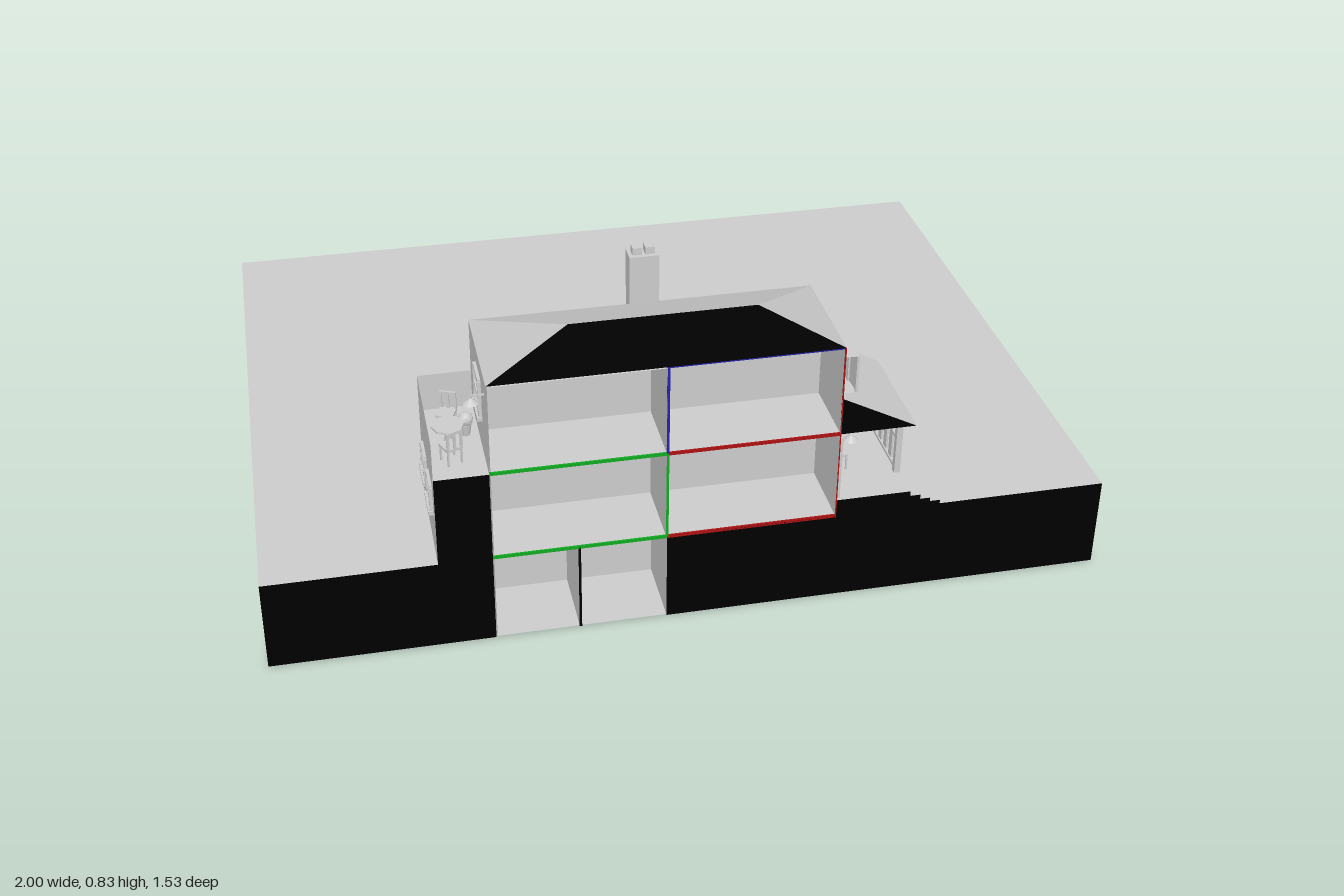
import * as THREE from 'three';

const mat = (color = 0xcccccc) => new THREE.MeshStandardMaterial({ color, side: THREE.DoubleSide, flatShading: true });
const grey = mat(), black = mat(0x000000), red = mat(0xaa1111), green = mat(0x11aa22), blue = mat(0x2222aa);
const FRONT = 0.765, BACK = 0.475, ROOM = 0.59; // z of cut plane, rear wall, room rear wall
const L = -0.475, M = -0.07, R = 0.335;         // x of left wall, middle wall, right wall
const Y = [0, 0.23, 0.46, 0.69];                // floor levels

export function createModel() {
  const house = new THREE.Group();
  house.name = 'cutawayHouse';

  const add = (name, geo, m = grey, parent = house) => {
    const mesh = new THREE.Mesh(geo, m);
    mesh.name = name;
    parent.add(mesh);
    return mesh;
  };
  // box given by its limits
  const box = (name, x0, x1, y0, y1, z0, z1, m, parent) => {
    const g = new THREE.BoxGeometry(x1 - x0, y1 - y0, z1 - z0);
    g.translate((x0 + x1) / 2, (y0 + y1) / 2, (z0 + z1) / 2);
    return add(name, g, m, parent);
  };
  // flat convex face through 3D corners
  const face = (name, pts, m, parent) => {
    const pos = [];
    for (let i = 1; i < pts.length - 1; i++) pos.push(...pts[0], ...pts[i], ...pts[i + 1]);
    const g = new THREE.BufferGeometry();
    g.setAttribute('position', new THREE.Float32BufferAttribute(pos, 3));
    g.computeVertexNormals();
    return add(name, g, m, parent);
  };
  const shape = pts => new THREE.Shape(pts.map(p => new THREE.Vector2(...p)));
  const cutFace = (name, pts) => add(name, new THREE.ShapeGeometry(shape(pts)).translate(0, 0, FRONT), black);

  // lawn, open under the building and chimney
  const lawn = shape([[-1, -FRONT], [1, -FRONT], [1, FRONT], [0.515, FRONT], [0.515, BACK], [0, BACK],
    [0, 0.43], [-0.13, 0.43], [-0.13, BACK], [-0.6, BACK], [-0.6, FRONT], [-1, FRONT]]);
  add('lawn', new THREE.ShapeGeometry(lawn).rotateX(Math.PI / 2).translate(0, Y[1], 0));

  // black section faces
  cutFace('leftSection', [[-1, 0], [L, 0], [L, Y[2]], [-0.6, Y[2]], [-0.6, Y[1]], [-1, Y[1]]]);
  cutFace('rightSection', [[M, 0], [1, 0], [1, Y[1]], [0.59, Y[1]], [0.59, 0.24], [0.565, 0.24], [0.565, 0.25],
    [0.54, 0.25], [0.54, 0.262], [0.515, 0.262], [0.515, 0.275], [R, 0.275], [R, Y[1]], [M, Y[1]]]);
  cutFace('atticSection', [[L, Y[3]], [R, Y[3]], [0.127, 0.825], [-0.293, 0.825]]);
  cutFace('porchRoofSection', [[R, Y[2]], [0.515, Y[2]], [R, 0.555]]);

  // rooms: shallow shells open at the cut plane
  const room = (name, x0, x1, y0, y1) => {
    const g = new THREE.Group();
    g.name = name;
    house.add(g);
    face('rearWall', [[x0, y0, ROOM], [x1, y0, ROOM], [x1, y1, ROOM], [x0, y1, ROOM]], grey, g);
    for (const x of [x0, x1])
      face('sideWall', [[x, y0, ROOM], [x, y0, FRONT], [x, y1, FRONT], [x, y1, ROOM]], grey, g);
    for (const y of [y0, y1])
      face('floor', [[x0, y, ROOM], [x1, y, ROOM], [x1, y, FRONT], [x0, y, FRONT]], grey, g);
  };
  const e = 0.003;
  room('basementLeft', L + e, -0.278, 0.003, Y[1] - e);
  room('basementRight', -0.272, M, 0.003, Y[1] - e);
  for (const i of [1, 2]) {
    room('leftRoom', L + e, M - e, Y[i] + e, Y[i + 1] - e);
    room('rightRoom', M + e, R - e, Y[i] + e, Y[i + 1] - e);
  }

  // coloured cut edges of floors and walls
  const edge = (name, x0, x1, y0, y1, m) => box(name, x0, x1, y0, y1, FRONT - 0.004, FRONT, m);
  for (const i of [1, 2]) {
    edge('leftFloorEdge', L, M, Y[i] - 0.004, Y[i] + 0.004, green);
    edge('rightFloorEdge', M, R, Y[i] - 0.004, Y[i] + 0.004, red);
    edge('middleWallEdge', M - e, M + e, Y[i], Y[i + 1], i === 1 ? green : blue);
    edge('rightWallEdge', R - e, R, Y[i], Y[i + 1], red);
  }
  edge('ceilingEdge', M, R, Y[3] - e, Y[3], blue);
  edge('basementPartitionEdge', -0.278, -0.272, 0, Y[1], black);

  // outer walls
  face('rearWall', [[L, Y[1], BACK], [R, Y[1], BACK], [R, Y[3], BACK], [L, Y[3], BACK]]);
  for (const x of [L, R])
    face('sideWall', [[x, Y[1], BACK], [x, Y[1], FRONT], [x, Y[3], FRONT], [x, Y[3], BACK]]);

  // hipped roof
  const c0 = [L, Y[3], BACK], c1 = [R, Y[3], BACK], f0 = [L, Y[3], FRONT], f1 = [R, Y[3], FRONT];
  const r0 = [-0.293, 0.825, FRONT], r1 = [0.127, 0.825, FRONT];
  face('rearRoofSlope', [c0, r0, r1, c1]);
  face('leftRoofSlope', [c0, f0, r0]);
  face('rightRoofSlope', [c1, r1, f1]);

  // chimney with sloped shoulders, cap and pots
  const stack = shape([[-0.13, Y[1]], [0, Y[1]], [0, 0.37], [-0.03, 0.47], [-0.03, 0.81],
    [-0.1, 0.81], [-0.1, 0.47], [-0.13, 0.37]]);
  add('chimney', new THREE.ExtrudeGeometry(stack, { depth: 0.045, bevelEnabled: false }).translate(0, 0, 0.43));
  for (const x of [-0.08, -0.05]) box('chimneyPot', x - 0.011, x + 0.011, 0.81, 0.828, 0.44, 0.465);

  // windows on walls: u runs along the wall, out is its outward side
  const wallWindow = (name, n, w, h) => {
    const g = new THREE.Group();
    g.name = name;
    house.add(g);
    const t = 0.008, p = w / n;
    for (let i = 0; i <= n; i++)
      box('post', -w / 2 + i * p - t / 2, -w / 2 + i * p + t / 2, -h / 2, h / 2, 0, 0.008, grey, g);
    for (const y of [-h / 2, 0, h / 2]) box('rail', -w / 2, w / 2, y - t / 2, y + t / 2, 0, 0.007, grey, g);
    box('glass', -w / 2, w / 2, -h / 2, h / 2, 0, 0.002, grey, g);
    box('sill', -w / 2 - 0.008, w / 2 + 0.008, -h / 2 - 0.01, -h / 2, 0, 0.012, grey, g);
    return g;
  };
  const place = (g, x, y, z, turn) => { g.position.set(x, y, z); g.rotation.y = turn; };
  place(wallWindow('rearSingleWindow', 1, 0.09, 0.13), 0.18, 0.575, BACK, Math.PI);
  place(wallWindow('rearDoubleWindow', 2, 0.16, 0.13), -0.29, 0.575, BACK, Math.PI);
  place(wallWindow('rearTripleWindow', 3, 0.24, 0.1), -0.322, 0.385, BACK, Math.PI);
  place(wallWindow('balconyWindow', 1, 0.08, 0.09), L, 0.6, 0.63, -Math.PI / 2);
  for (const z of [0.575, 0.69]) place(wallWindow('sideWindow', 1, 0.07, 0.06), -0.6, 0.385, z, -Math.PI / 2);
  place(wallWindow('porchWindow', 2, 0.13, 0.1), R, 0.4, 0.59, Math.PI / 2);
  box('frontDoor', R, R + 0.006, 0.28, 0.45, 0.69, FRONT);

  // curved bay window upstairs
  const bay = [[R, 0.672], [0.352, 0.68], [0.362, 0.715], [0.365, FRONT]];
  for (let i = 0; i < 3; i++) {
    const [[xa, za], [xb, zb]] = [bay[i], bay[i + 1]];
    face('bayPane', [[xa, 0.57, za], [xb, 0.57, zb], [xb, 0.665, zb], [xa, 0.665, za]]);
    box('bayPost', xb - 0.004, xb + 0.002, 0.57, 0.665, zb - 0.006, zb);
  }
  for (const y of [0.57, 0.665]) face('bayCap', [...bay.map(([x, z]) => [x, y, z]), [R, y, FRONT]]);

  // left wing with balcony deck and parapet
  face('wingRearWall', [[-0.6, Y[1], BACK], [L, Y[1], BACK], [L, 0.555, BACK], [-0.6, 0.555, BACK]]);
  face('wingSideWall', [[-0.6, Y[1], BACK], [-0.6, Y[1], FRONT], [-0.6, 0.555, FRONT], [-0.6, 0.555, BACK]]);
  face('balconyDeck', [[-0.6, Y[2], BACK], [L, Y[2], BACK], [L, Y[2], FRONT], [-0.6, Y[2], FRONT]]);

  // chairs, table and plant
  const chair = (x, y, z, turn) => {
    const g = new THREE.Group();
    g.name = 'chair';
    house.add(g);
    for (const a of [-0.017, 0.017]) for (const b of [-0.017, 0.017])
      box('chairLeg', a - 0.002, a + 0.002, 0, 0.04, b - 0.002, b + 0.002, grey, g);
    box('seat', -0.02, 0.02, 0.038, 0.044, -0.02, 0.02, grey, g);
    for (const a of [-0.017, 0, 0.017]) box('backSlat', a - 0.003, a + 0.003, 0.044, 0.085, -0.02, -0.016, grey, g);
    box('backRail', -0.02, 0.02, 0.08, 0.088, -0.02, -0.015, grey, g);
    place(g, x, y, z, turn);
  };
  chair(-0.545, Y[2], 0.56, -0.4);
  chair(-0.55, Y[2], 0.695, Math.PI + 0.4);
  chair(0.375, 0.275, 0.63, Math.PI / 2);
  add('tableTop', new THREE.CylinderGeometry(0.038, 0.038, 0.005, 8)).position.set(-0.55, 0.518, 0.637);
  add('tableLeg', new THREE.CylinderGeometry(0.005, 0.012, 0.056, 8)).position.set(-0.55, 0.488, 0.637);
  add('plantPot', new THREE.CylinderGeometry(0.014, 0.009, 0.03, 10)).position.set(-0.505, 0.475, 0.595);
  add('plant', new THREE.IcosahedronGeometry(0.018, 1)).position.set(-0.505, 0.502, 0.595);

  // lamps with cone shades
  for (const [x, y, z, wall] of [[-0.505, 0.64, 0.735, L], [0.365, 0.435, 0.745, R]]) {
    add('lampShade', new THREE.ConeGeometry(0.018, 0.014, 10, 1, true)).position.set(x, y, z);
    box('lampArm', Math.min(x, wall), Math.max(x, wall), y + 0.01, y + 0.014, z - 0.002, z + 0.002);
  }

  // porch: base, floor, roof
  const P = 0.515;
  face('porchFloor', [[R, 0.275, BACK], [P, 0.275, BACK], [P, 0.275, FRONT], [R, 0.275, FRONT]]);
  face('porchSideBase', [[P, Y[1], BACK], [P, Y[1], FRONT], [P, 0.275, FRONT], [P, 0.275, BACK]]);
  face('porchRearBase', [[R, Y[1], BACK], [P, Y[1], BACK], [P, 0.275, BACK], [R, 0.275, BACK]]);
  face('porchRoof', [[R, 0.555, BACK], [R, 0.555, FRONT], [P, Y[2], FRONT], [P, Y[2], BACK]]);
  face('porchGable', [[R, 0.555, BACK], [P, Y[2], BACK], [R, Y[2], BACK]]);
  face('porchCeiling', [[R, Y[2], BACK], [P, Y[2], BACK], [P, Y[2], FRONT], [R, Y[2], FRONT]]);

  // porch posts, railings and balusters
  for (const [x, z] of [[P - 0.015, BACK], [P - 0.015, 0.67], [R, BACK]])
    box('porchPost', x, x + 0.015, 0.275, Y[2], z, z + 0.015);
  for (const y of [0.283, 0.365]) {
    box('sideRail', P - 0.013, P - 0.003, y, y + 0.007, BACK, 0.685);
    box('rearRail', R, P, y, y + 0.007, BACK + 0.003, BACK + 0.013);
  }
  for (let i = 0; i < 5; i++) {
    const z = 0.507 + i * 0.038;
    if (i < 4) box('sideBaluster', P - 0.01, P - 0.005, 0.283, 0.365, z, z + 0.02);
    const x = 0.36 + i * 0.03;
    box('rearBaluster', x, x + 0.01, 0.283, 0.365, BACK + 0.005, BACK + 0.01);
  }

  // porch steps
  [0.262, 0.25, 0.24].forEach((y, i) =>
    box('porchStep', P + i * 0.025, P + (i + 1) * 0.025, Y[1], y, 0.71, FRONT - 0.001));

  return house;
}
